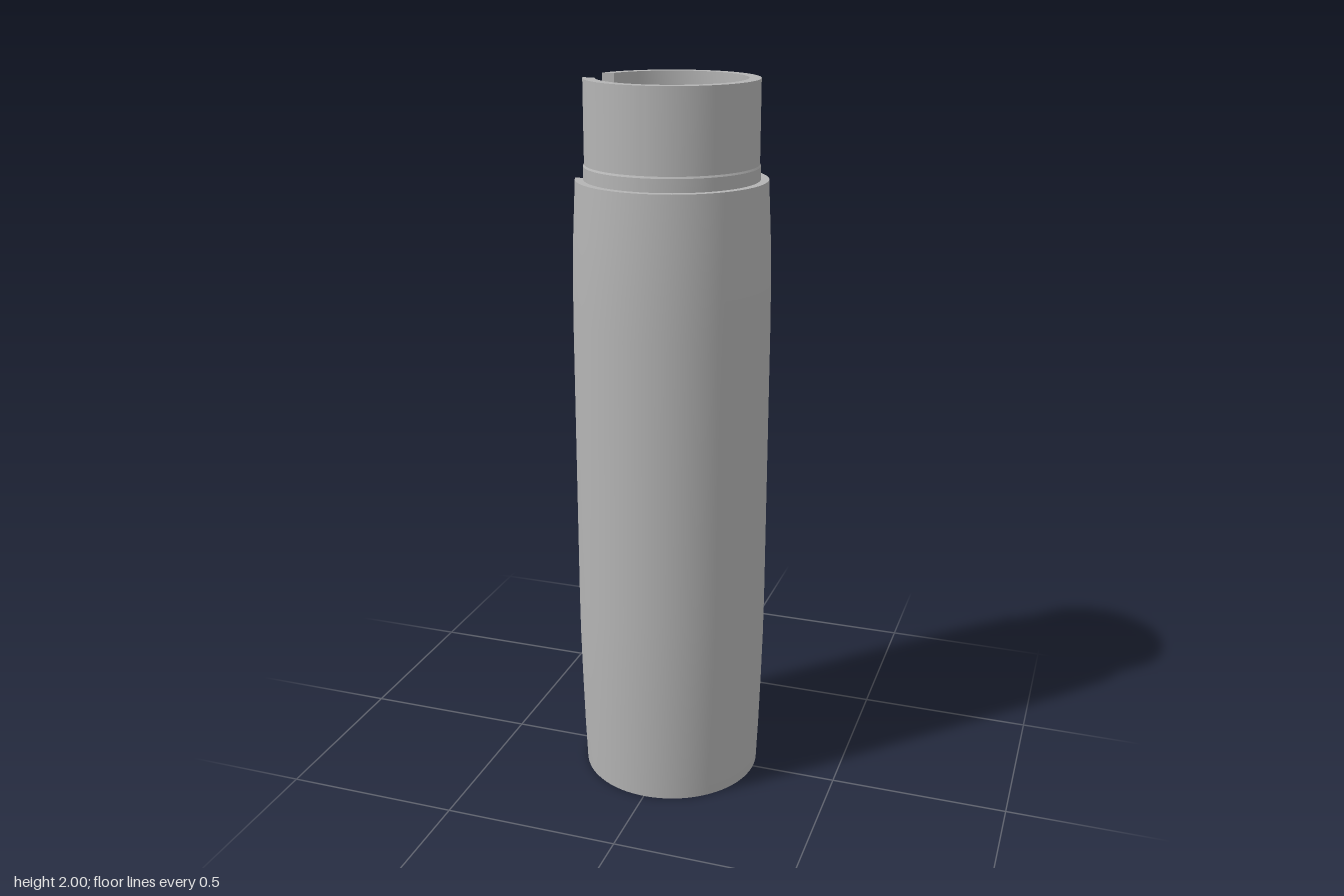
import * as THREE from 'three';
import { toCreasedNormals } from 'three/addons/utils/BufferGeometryUtils.js';

const SLOT = 0.07;        // half width of the slot on the -x side
const SLOT_Y = 1.67;      // centre of the slot's rounded end

// [radius, height]: outside going up, bore going down
const outer = [
  [0.255, 0], [0.26, 0.12], [0.2645, 0.27], [0.268, 0.42], [0.269, 0.55],
  [0.269, 1.36], [0.2675, 1.48], [0.264, 1.6], [0.257, 1.74],
  [0.235, 1.74], [0.235, 1.775], [0.232, 1.78], [0.232, 2],
];
const bore = [[0.2, 2], [0.2, 1.74], [0.235, 1.5], [0.235, 0]];

// Cuts a profile at height top; points above collapse onto the cut
function clip(profile, top) {
  const pts = profile[0][1] < profile[profile.length - 1][1] ? profile : [...profile].reverse();
  let cut = pts[pts.length - 1];
  for (let i = 1; i < pts.length; i++) {
    const [r0, y0] = pts[i - 1], [r1, y1] = pts[i];
    if (y0 <= top && y1 > top) {
      cut = [r0 + (r1 - r0) * (top - y0) / (y1 - y0), top];
      break;
    }
  }
  return profile.map((p) => (p[1] > top ? cut : p));
}

// Closed cross-section columns: inside the slot they share one z, elsewhere they go round
function slotColumn(z) {
  const top = SLOT_Y - Math.sqrt(Math.max(0, SLOT * SLOT - z * z));
  return [...clip(outer, top), ...clip(bore, top)]
    .map(([r, y]) => new THREE.Vector3(-Math.sqrt(r * r - z * z), y, z));
}
function roundColumn(t) {
  return [...outer, ...bore].map(([r, y]) => {
    const start = Math.asin(SLOT / r);
    const a = start + t * 2 * (Math.PI - start);
    return new THREE.Vector3(-r * Math.cos(a), y, r * Math.sin(a));
  });
}

// Skins neighbouring columns, leaving out empty triangles
function skin(columns) {
  const pos = [];
  const tri = new THREE.Triangle();
  const add = (a, b, c) => {
    if (tri.set(a, b, c).getArea() > 1e-9) for (const p of [a, b, c]) pos.push(p.x, p.y, p.z);
  };
  for (let j = 0; j + 1 < columns.length; j++) {
    const A = columns[j], B = columns[j + 1];
    for (let k = 0; k < A.length; k++) {
      const n = (k + 1) % A.length;
      add(A[k], B[k], B[n]);
      add(A[k], B[n], A[n]);
    }
  }
  const g = new THREE.BufferGeometry();
  g.setAttribute('position', new THREE.Float32BufferAttribute(pos, 3));
  return toCreasedNormals(g, Math.PI / 7);
}

export function createModel() {
  const group = new THREE.Group();
  const grey = new THREE.MeshStandardMaterial({ color: 0xb4b4b4, side: THREE.DoubleSide });
  grey.name = 'grey';
  const add = (name, geometry) => {
    const mesh = new THREE.Mesh(geometry, grey);
    mesh.name = name;
    group.add(mesh);
    return mesh;
  };

  // Hollow sleeve with its narrower neck
  const N = 96, M = 24;
  add('sleeve', skin(Array.from({ length: N + 1 }, (_, i) => roundColumn(i / N))));

  // Sleeve wall below the slot, including the rounded slot end
  add('slotEnd', skin(Array.from({ length: M + 1 },
    (_, i) => slotColumn(-SLOT * Math.cos(Math.PI * i / M)))));

  // Flat side walls of the slot
  const section = [...clip(outer, SLOT_Y).filter((p) => p[1] === SLOT_Y).slice(0, 1),
    ...outer.filter((p) => p[1] > SLOT_Y), ...bore.filter((p) => p[1] > SLOT_Y),
    ...clip(bore, SLOT_Y).filter((p) => p[1] === SLOT_Y).slice(0, 1)];
  const wall = new THREE.ShapeGeometry(new THREE.Shape(
    section.map(([r, y]) => new THREE.Vector2(-Math.sqrt(r * r - SLOT * SLOT), y))));
  for (const side of [-1, 1]) {
    add(side > 0 ? 'slotWallFront' : 'slotWallBack', wall).position.z = side * SLOT;
  }
  return group;
}
